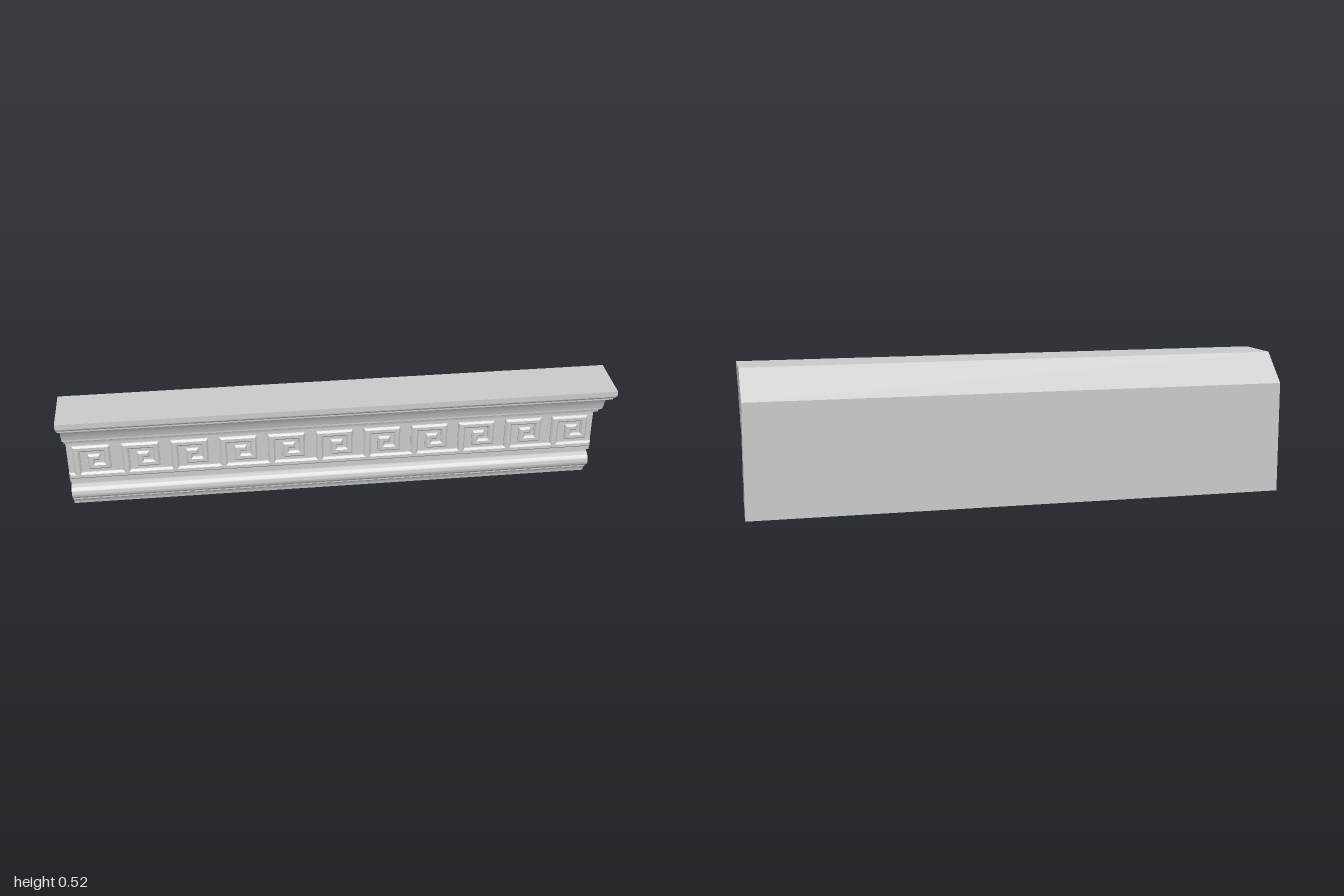
import * as THREE from 'three';
import { toCreasedNormals } from 'three/addons/utils/BufferGeometryUtils.js';

const LENGTH = 2;
const MOTIFS = 11;

// Cross-section of the moulding, drawn as (z, y)
function corniceProfile() {
  const s = new THREE.Shape();
  const lines = (...pts) => pts.forEach(([z, y]) => s.lineTo(z, y));
  s.moveTo(-0.153, 0);
  lines([-0.153, 0.416], [-0.043, 0.523], [0.153, 0.523], [0.153, 0.503], [0.141, 0.503]);
  s.quadraticCurveTo(0.139, 0.479, 0.111, 0.478); // small ovolo
  lines([0.111, 0.465]);
  s.quadraticCurveTo(0.036, 0.449, 0.019, 0.375); // large cove
  lines([0.007, 0.375], [0.007, 0.361]);
  s.quadraticCurveTo(-0.026, 0.361, -0.032, 0.327); // small cove
  lines([-0.052, 0.327], [-0.052, 0.315], [-0.066, 0.315], [-0.066, 0.304], [-0.082, 0.304]);
  lines([-0.082, 0.125], [-0.109, 0.125], [-0.109, 0.1]);
  s.absarc(-0.106, 0.07, 0.0295, Math.PI / 2, -Math.PI / 2, true); // bead
  lines([-0.104, 0.041], [-0.104, 0.03]);
  s.quadraticCurveTo(-0.119, 0.024, -0.122, 0); // foot cove
  s.closePath();
  return s;
}

// Running key pattern: one bottom band with a hooked spiral rising per motif
function keyShape() {
  const motif = [
    [0.02, 0.026], [0.02, 0.143], [0.16, 0.143], [0.16, 0.039], [0.075, 0.039],
    [0.075, 0.104], [0.122, 0.104], [0.122, 0.078], [0.1, 0.078], [0.1, 0.065],
    [0.135, 0.065], [0.135, 0.117], [0.048, 0.117], [0.048, 0.026],
  ];
  const half = LENGTH / 2;
  const pts = [new THREE.Vector2(-half, 0), new THREE.Vector2(-half, 0.026)];
  for (let i = 0; i < MOTIFS; i++) {
    const x0 = -half + (i * LENGTH) / MOTIFS;
    motif.forEach(([x, y]) => pts.push(new THREE.Vector2(x0 + x, y)));
  }
  pts.push(new THREE.Vector2(half, 0.026), new THREE.Vector2(half, 0));
  return new THREE.Shape(pts);
}

export function createModel() {
  const group = new THREE.Group();
  group.name = 'corniceMoulding';
  const material = new THREE.MeshStandardMaterial({ color: 0xcccccc });
  const add = (name, geometry) => {
    const mesh = new THREE.Mesh(geometry, material);
    mesh.name = name;
    group.add(mesh);
  };

  // Moulding body, swept along x
  const body = new THREE.ExtrudeGeometry(corniceProfile(), {
    depth: LENGTH, bevelEnabled: false, curveSegments: 14,
  });
  body.rotateY(-Math.PI / 2).translate(LENGTH / 2, 0, 0);
  add('mouldingBody', toCreasedNormals(body, 0.5));

  // Bevelled key relief; its rear bevel is buried in the body
  const depth = 0.016, bevel = 0.007;
  const key = new THREE.ExtrudeGeometry(keyShape(), {
    depth, bevelEnabled: true, bevelThickness: bevel, bevelSize: bevel,
    bevelOffset: -bevel, bevelSegments: 1,
  });
  key.translate(0, 0.143, -0.07 - depth - bevel);
  add('keyFrieze', toCreasedNormals(key, 0.3));

  return group;
}
